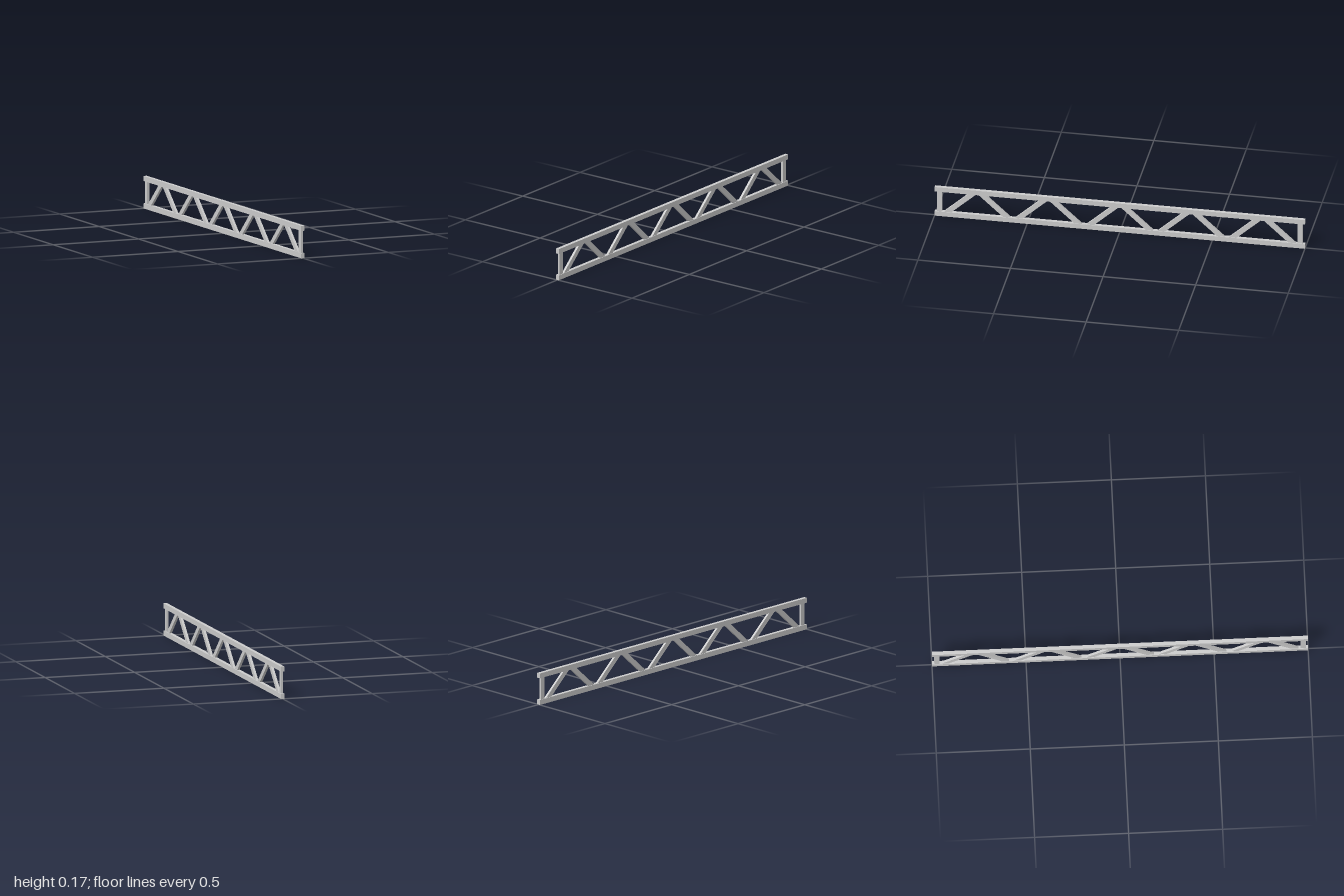
import * as THREE from 'three';

export function createModel() {
  const model = new THREE.Group();
  const material = new THREE.MeshStandardMaterial({ color: 0xcccccc });
  const height = 0.174, chord = 0.027, chordWidth = 0.02, webWidth = 0.013;

  const add = (name, geometry, x, y, z) => {
    const mesh = new THREE.Mesh(geometry, material);
    mesh.name = name;
    mesh.position.set(x, y, z);
    model.add(mesh);
  };

  // Long horizontal chords
  const chordGeometry = new THREE.BoxGeometry(chordWidth, chord, 2);
  add('bottomChord', chordGeometry, 0, chord / 2, 0);
  add('topChord', chordGeometry, 0, height - chord / 2, 0);

  // Upright posts just inside both ends
  const postGeometry = new THREE.BoxGeometry(webWidth, height - 2 * chord, 0.027);
  for (const side of [1, -1]) add('endPost', postGeometry, 0, height / 2, side * 0.974);

  // Slanted brace, mitred flush with the chords; side picks the direction it leans
  const braceGeometry = (side) => {
    const half = 0.02, top = 0.027, bottom = 0.16;
    const shape = new THREE.Shape([
      [bottom - half, chord], [bottom + half, chord],
      [top + half, height - chord], [top - half, height - chord],
    ].map(([z, y]) => new THREE.Vector2(-side * z, y)));
    return new THREE.ExtrudeGeometry(shape, { depth: webWidth, bevelEnabled: false })
      .translate(0, 0, -webWidth / 2)
      .rotateY(Math.PI / 2);
  };

  // Five pairs of braces, each meeting under the top chord
  for (const side of [1, -1]) {
    const geometry = braceGeometry(side);
    for (let i = -2; i <= 2; i++) add('diagonalBrace', geometry, 0, 0, i * 0.385);
  }
  return model;
}
